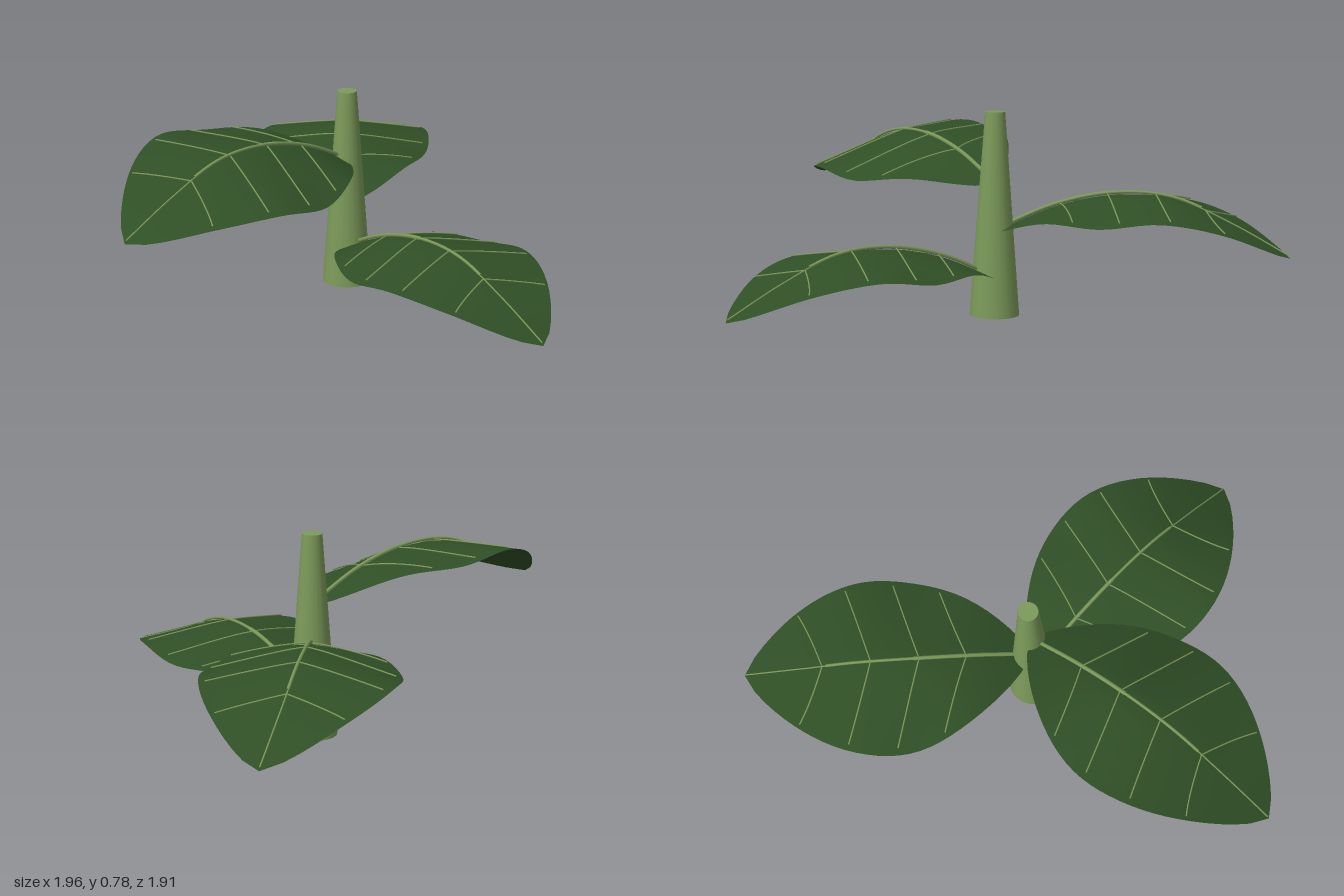
import * as THREE from 'three';

const STEM = { x: -0.13, z: -0.16, height: 0.78 };

// Leaf rule, evenly spaced from base to tip: x = position, y = midrib height, z = drop of the edges
const section = new THREE.CatmullRomCurve3([
  [0, 0.14, 0], [0.2, 0.24, 0.03], [0.4, 0.29, 0.08],
  [0.6, 0.28, 0.045], [0.8, 0.193, 0.005], [1, 0.08, 0],
].map((p) => new THREE.Vector3(...p)), false, 'catmullrom', 0.5);

const halfWidth = (t) => 0.355 * Math.pow(Math.max(0, Math.sin(Math.PI * t)), 0.75);

// Point on a leaf: t runs base to tip, s runs from one edge (-1) to the other (1)
function leafPoint(leaf, t, s, lift = 0) {
  const k = section.getPoint(t);
  const dx = leaf.tip[0] - STEM.x, dz = leaf.tip[1] - STEM.z;
  const length = Math.hypot(dx, dz);
  const ux = dx / length, uz = dz / length;
  const w = halfWidth(t);
  const side = s * w + leaf.bend * Math.sin(Math.PI * t);
  const y = leaf.raise + k.y - k.z * Math.pow(Math.abs(s), 1.25) + leaf.roll * s * w + lift;
  return new THREE.Vector3(STEM.x + dx * t - uz * side, y, STEM.z + dz * t + ux * side);
}

// Curved blade made from cross-sections
function bladeGeometry(leaf, rows = 28, cols = 12) {
  const positions = [], index = [];
  for (let i = 0; i <= rows; i++) {
    for (let j = 0; j <= cols; j++) {
      positions.push(...leafPoint(leaf, i / rows, (j / cols) * 2 - 1).toArray());
      if (i < rows && j < cols) {
        const a = i * (cols + 1) + j, b = a + cols + 1;
        index.push(a, a + 1, b, b, a + 1, b + 1);
      }
    }
  }
  const geometry = new THREE.BufferGeometry();
  geometry.setAttribute('position', new THREE.Float32BufferAttribute(positions, 3));
  geometry.setIndex(index);
  geometry.computeVertexNormals();
  return geometry;
}

// Thin tube following the blade between two leaf coordinates
function veinGeometry(leaf, from, to, radius, lift, steps) {
  const points = [];
  for (let i = 0; i <= steps; i++) {
    const k = i / steps;
    points.push(leafPoint(leaf, from[0] + (to[0] - from[0]) * k, from[1] + (to[1] - from[1]) * k, lift));
  }
  return new THREE.TubeGeometry(new THREE.CatmullRomCurve3(points), steps * 2, radius, 6);
}

export function createModel() {
  const stemGreen = new THREE.MeshStandardMaterial({ color: 0x7c9a5a });
  const leafGreen = new THREE.MeshStandardMaterial({ color: 0x2f4f26, side: THREE.DoubleSide });
  const model = new THREE.Group();
  model.name = 'plant';
  const add = (parent, name, geometry, material) => {
    const mesh = new THREE.Mesh(geometry, material);
    mesh.name = name;
    parent.add(mesh);
    return mesh;
  };

  // Tapered stem
  const stem = add(model, 'stem', new THREE.CylinderGeometry(0.038, 0.095, STEM.height, 20), stemGreen);
  stem.position.set(STEM.x, STEM.height / 2, STEM.z);

  // Three leaves climbing the stem
  const leaves = [
    { name: 'lowerLeaf', tip: [0.99, -0.14], raise: 0, roll: 0, bend: 0.005 },
    { name: 'middleLeaf', tip: [-0.935, -0.93], raise: 0.18, roll: 0, bend: -0.05 },
    { name: 'upperLeaf', tip: [-0.03, 0.96], raise: 0.36, roll: 0.22, bend: 0 },
  ];
  for (const leaf of leaves) {
    const group = new THREE.Group();
    group.name = leaf.name;
    add(group, 'blade', bladeGeometry(leaf), leafGreen);
    // Midrib: a thicker stalk by the stem, thinning towards the tip
    add(group, 'stalk', veinGeometry(leaf, [0.02, 0], [0.4, 0], 0.008, 0.01, 8), stemGreen);
    add(group, 'midrib', veinGeometry(leaf, [0.38, 0], [0.7, 0], 0.006, 0.01, 8), stemGreen);
    add(group, 'midribEnd', veinGeometry(leaf, [0.69, 0], [0.995, 0], 0.003, 0.008, 8), stemGreen);
    // Paired side veins slanting towards the tip
    for (const t of [0.22, 0.38, 0.545, 0.715]) {
      for (const side of [-1, 1]) {
        add(group, 'sideVein', veinGeometry(leaf, [t, 0], [t + 0.085, side * 0.93], 0.003, 0.006, 6), stemGreen);
      }
    }
    model.add(group);
  }
  return model;
}
